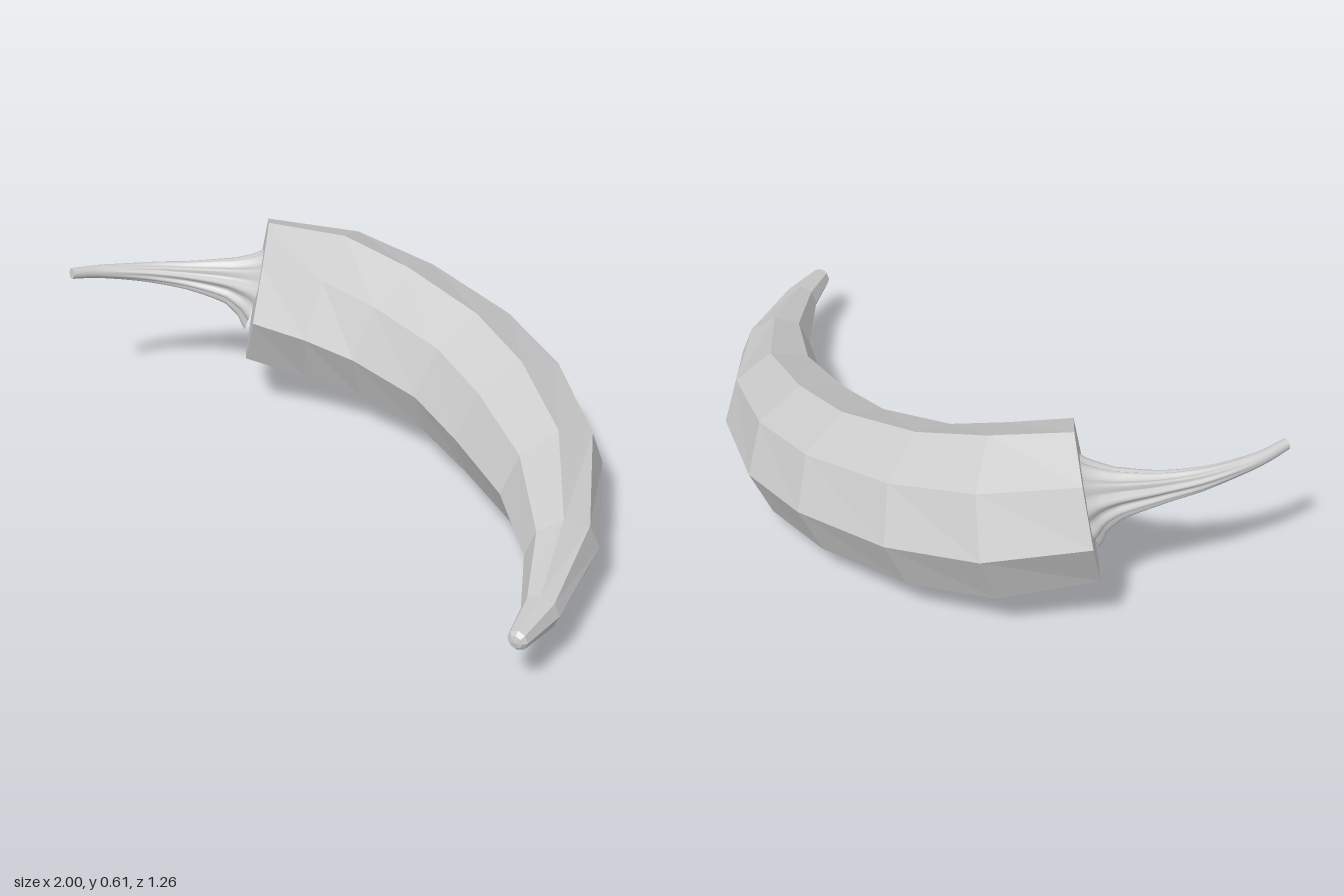
import * as THREE from 'three';

const V = (x, y, z) => new THREE.Vector3(x, y, z);

// Cross-section around centre c, facing along t; radius(angle) shapes the outline
function ring(c, t, sides, radius) {
  const dir = t.clone().normalize();
  const side = dir.clone().cross(V(0, 1, 0)).normalize();
  const up = side.clone().cross(dir);
  return Array.from({ length: sides }, (_, j) => {
    const a = (j / sides) * Math.PI * 2, r = radius(a);
    return c.clone().addScaledVector(up, Math.cos(a) * r).addScaledVector(side, Math.sin(a) * r);
  });
}

// Skin over a row of rings, closed by a fan at each end
function loft(rings, startPoint, endPoint) {
  const n = rings[0].length, last = (rings.length - 1) * n;
  const points = rings.flat();
  const index = [];
  for (let i = 0; i < rings.length - 1; i++) {
    for (let j = 0; j < n; j++) {
      const k = (j + 1) % n;
      const a = i * n + j, b = i * n + k, c = a + n, d = b + n;
      index.push(a, b, d, a, d, c);
    }
  }
  // caps have their own corners so the ends stay crisp
  const s = points.length;
  points.push(...rings[0], startPoint);
  const e = points.length;
  points.push(...rings[rings.length - 1], endPoint);
  for (let j = 0; j < n; j++) {
    const k = (j + 1) % n;
    index.push(s + n, s + k, s + j, e + n, e + j, e + k);
  }
  const g = new THREE.BufferGeometry().setFromPoints(points);
  g.setIndex(index);
  g.computeVertexNormals();
  return g;
}

export function createModel() {
  const group = new THREE.Group();
  group.name = 'chiliPepper';

  // Curved eight-sided body: x, y, z, radius, heading in degrees, downward slope
  const stations = [
    [-0.575, 0.387, -0.23, 0.236, -35, 0.18],
    [-0.37, 0.342, -0.352, 0.254, -18, 0.18],
    [-0.148, 0.301, -0.395, 0.24, -2, 0.18],
    [0.14, 0.258, -0.368, 0.225, 10, 0.17],
    [0.372, 0.22, -0.275, 0.217, 19, 0.16],
    [0.625, 0.191, -0.1, 0.179, 25, 0.13],
    [0.838, 0.175, 0.183, 0.11, 43, 0.03],
    [0.944, 0.173, 0.463, 0.055, 75, 0],
    [0.967, 0.18, 0.612, 0.031, 85, 0],
    [0.968, 0.18, 0.624, 0.02, 85, 0],
  ];
  const bodyRings = stations.map(([x, y, z, r, deg, slope]) => {
    const h = THREE.MathUtils.degToRad(deg);
    return ring(V(x, y, z), V(Math.cos(h), -slope, Math.sin(h)), 8, () => r);
  });
  const body = new THREE.Mesh(
    loft(bodyRings, V(-0.575, 0.387, -0.23), V(0.968, 0.18, 0.628)),
    new THREE.MeshStandardMaterial({ color: 0xcccccc, flatShading: true })
  );
  body.name = 'body';
  group.add(body);

  // Stem: flares into a scalloped calyx at the base, its flutes fading to a round end
  const path = new THREE.CatmullRomCurve3([
    V(-0.577, 0.388, -0.229), V(-0.605, 0.398, -0.211), V(-0.65, 0.41, -0.183),
    V(-0.735, 0.425, -0.123), V(-0.83, 0.443, -0.042), V(-0.9, 0.46, 0.04),
    V(-0.95, 0.475, 0.112), V(-0.984, 0.489, 0.187),
  ]);
  // x: radius, y: flute depth as a share of the radius
  const shape = new THREE.CatmullRomCurve3([
    V(0.128, 0.09, 0), V(0.095, 0.1, 0), V(0.067, 0.12, 0), V(0.046, 0.12, 0),
    V(0.033, 0.08, 0), V(0.025, 0.03, 0), V(0.02, 0, 0), V(0.017, 0, 0),
  ]);
  const steps = 28, stemRings = [];
  for (let i = 0; i <= steps; i++) {
    const t = i / steps, s = shape.getPoint(t);
    stemRings.push(ring(path.getPoint(t), path.getTangent(t), 60,
      (a) => s.x * (1 + s.y * Math.cos(10 * a))));
  }
  const stem = new THREE.Mesh(
    loft(stemRings, path.getPoint(0), path.getPoint(1)),
    new THREE.MeshStandardMaterial({ color: 0xcccccc })
  );
  stem.name = 'stem';
  group.add(stem);

  return group;
}
